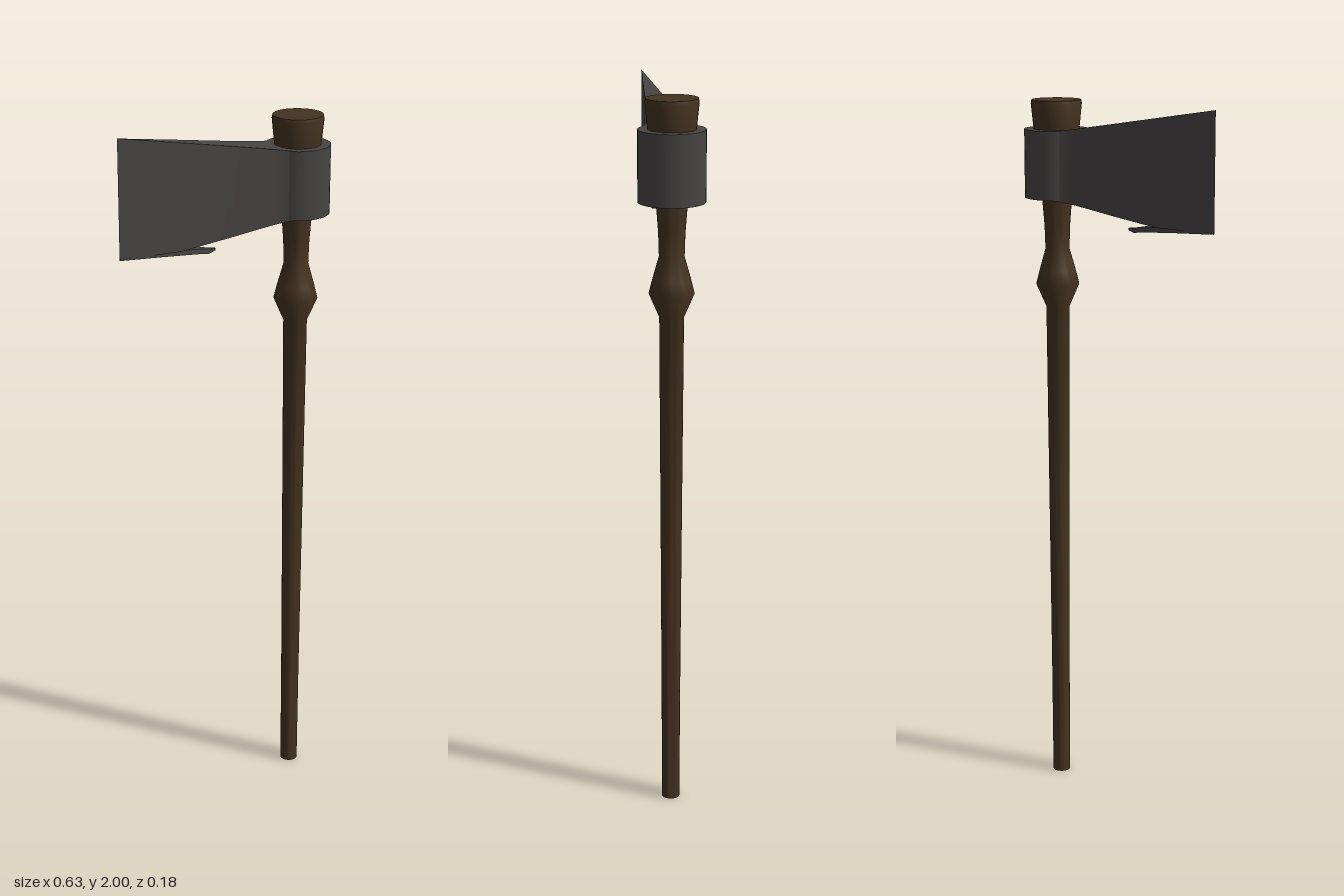
import * as THREE from 'three';
import { toCreasedNormals } from 'three/addons/utils/BufferGeometryUtils.js';

const AXIS_X = 0.226;
const AXIS_Z = -0.002;

// Loft of rectangular sections along x: [x, bottom, top, zBack, zFront]
function loft(sections) {
  const positions = [];
  const corners = sections.map(([x, lo, hi, zb, zf]) => [
    [x, hi, zf], [x, lo, zf], [x, lo, zb], [x, hi, zb],
  ]);
  const tri = (a, b, c) => positions.push(...a, ...b, ...c);
  for (let i = 0; i < corners.length - 1; i++) {
    const p = corners[i];
    const q = corners[i + 1];
    for (let k = 0; k < 4; k++) {
      const n = (k + 1) % 4;
      tri(p[n], q[n], q[k]);
      tri(p[n], q[k], p[k]);
    }
  }
  const first = corners[0];
  const last = corners[corners.length - 1];
  tri(first[0], first[3], first[2]);
  tri(first[0], first[2], first[1]);
  tri(last[0], last[1], last[2]);
  tri(last[0], last[2], last[3]);
  const geometry = new THREE.BufferGeometry();
  geometry.setAttribute('position', new THREE.Float32BufferAttribute(positions, 3));
  return toCreasedNormals(geometry, 0.6);
}

export function createModel() {
  const wood = new THREE.MeshStandardMaterial({ name: 'dark wood', color: 0x443320 });
  const metal = new THREE.MeshStandardMaterial({ name: 'dark iron', color: 0x484444 });
  const model = new THREE.Group();
  model.name = 'axe';

  const add = (name, geometry, material, x = 0, y = 0, z = 0) => {
    const mesh = new THREE.Mesh(geometry, material);
    mesh.name = name;
    mesh.position.set(x, y, z);
    model.add(mesh);
  };

  // Turned handle: slim shaft, knob below the head, flared top
  const profile = [
    [0, 0], [0.025, 0], [0.026, 0.3], [0.029, 0.8], [0.033, 1.42], [0.061, 1.485],
    [0.051, 1.525], [0.034, 1.585], [0.036, 1.65], [0.043, 1.74], [0.064, 1.92],
    [0.071, 1.99], [0.069, 2], [0, 2],
  ].map(([r, y]) => new THREE.Vector2(r, y));
  add('handle', toCreasedNormals(new THREE.LatheGeometry(profile, 32), 0.85), wood, AXIS_X, 0, AXIS_Z);

  // Round collar that holds the handle
  add('collar', new THREE.CylinderGeometry(0.09, 0.09, 0.19, 40), metal, AXIS_X, 1.825, AXIS_Z);

  // Blade tapering to a vertical cutting edge, flaring taller outwards
  const topAt = (x) => Math.max(1.92, 1.92 + (0.17 - x) * 0.164);
  const blade = [
    [-0.317, 1.675, 0.004, 0.004],
    [-0.14, 1.678, -0.018, 0.021],
    [0, 1.699, -0.033, 0.034],
    [0.08, 1.713, -0.044, 0.044],
    [0.12, 1.72, -0.051, 0.05],
    [0.145, 1.724, -0.058, 0.055],
    [0.165, 1.728, -0.067, 0.063],
    [0.18, 1.73, -0.077, 0.073],
    [0.21, 1.73, -0.085, 0.081],
  ].map(([x, lo, zb, zf]) => [x, lo, topAt(x), zb, zf]);
  add('blade', loft(blade), metal);

  // Thin spur under the blade's lower corner
  add('bladeSpur', loft([
    [-0.317, 1.674, 1.677, 0.002, 0.006],
    [-0.2, 1.668, 1.681, -0.006, 0.011],
    [-0.08, 1.66, 1.674, -0.012, 0.014],
    [-0.055, 1.655, 1.669, -0.008, 0.01],
    [-0.03, 1.66, 1.666, -0.002, 0.003],
  ]), metal);

  return model;
}
